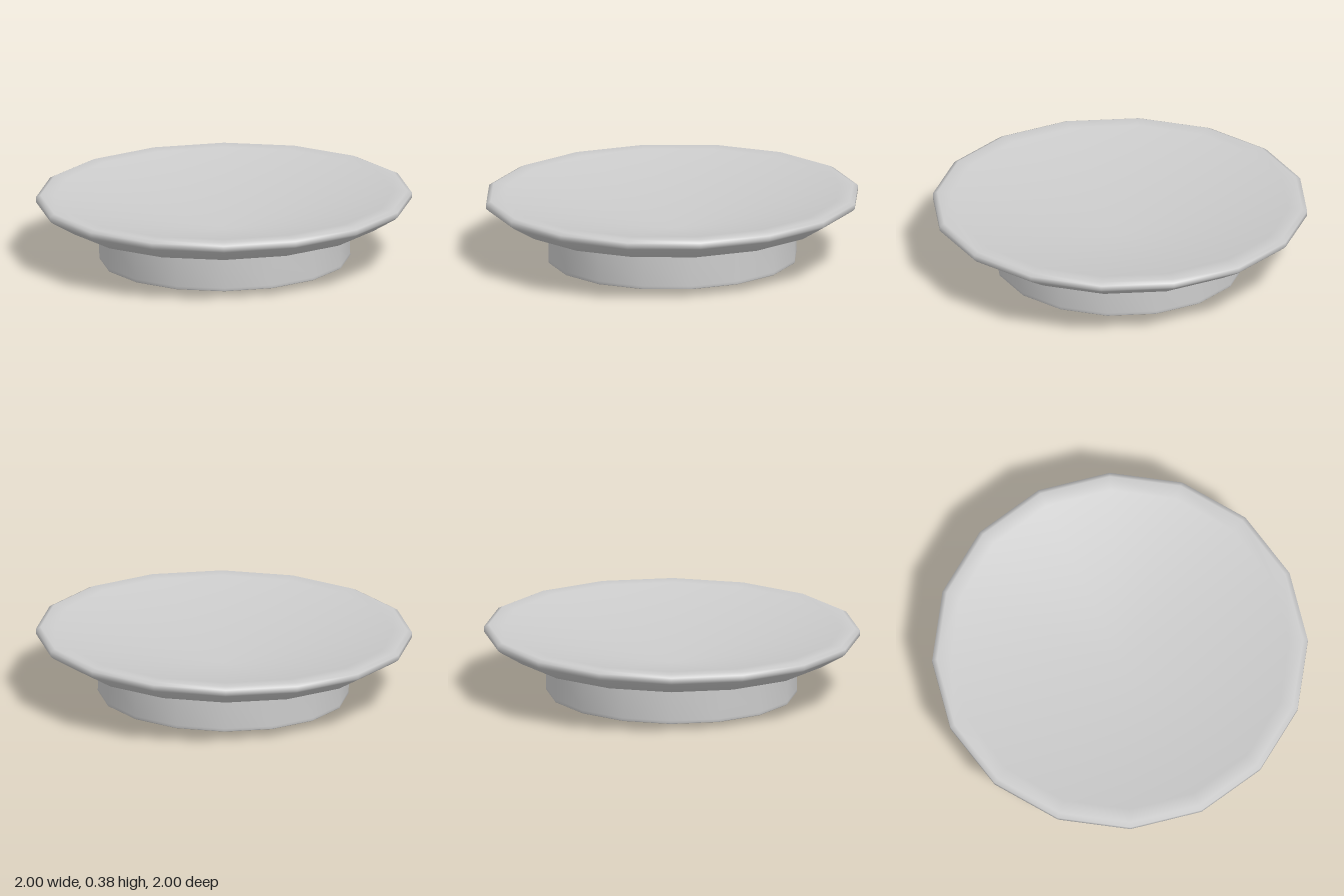
import * as THREE from 'three';
import { mergeVertices } from 'three/addons/utils/BufferGeometryUtils.js';

const SIDES = 16;

// Turned part with welded seams and poles, so its normals run smooth all over
function turned(name, profile, material) {
  const points = profile.map(([r, y]) => new THREE.Vector2(r, y));
  const lathe = new THREE.LatheGeometry(points, SIDES);
  lathe.deleteAttribute('normal');
  lathe.deleteAttribute('uv');
  const geometry = mergeVertices(lathe, 1e-4);
  geometry.computeVertexNormals();
  const mesh = new THREE.Mesh(geometry, material);
  mesh.name = name;
  return mesh;
}

export function createModel() {
  const model = new THREE.Group();
  model.name = 'pedestalDish';
  const material = new THREE.MeshStandardMaterial({ color: 0xcccccc });

  // The whole dish leans very slightly, its left end (+x) higher
  const body = new THREE.Group();
  body.name = 'leaningBody';
  body.rotation.z = 0.014;
  body.position.set(0.004, 0.01, 0);
  model.add(body);

  // Short drum with a tight bottom edge
  body.add(turned('base', [
    [0, 0], [0.65, 0], [0.663, 0], [0.667, 0.004], [0.667, 0.018], [0.667, 0.208],
  ], material));

  // Wide plate: shallow underside, flared edge, rounded rim and conical hollow on top
  body.add(turned('plate', [
    [0.66, 0.204], [0.86, 0.229], [0.985, 0.304], [1, 0.318], [1, 0.344],
    [0.975, 0.356], [0.9, 0.353], [0, 0.16],
  ], material));

  return model;
}
